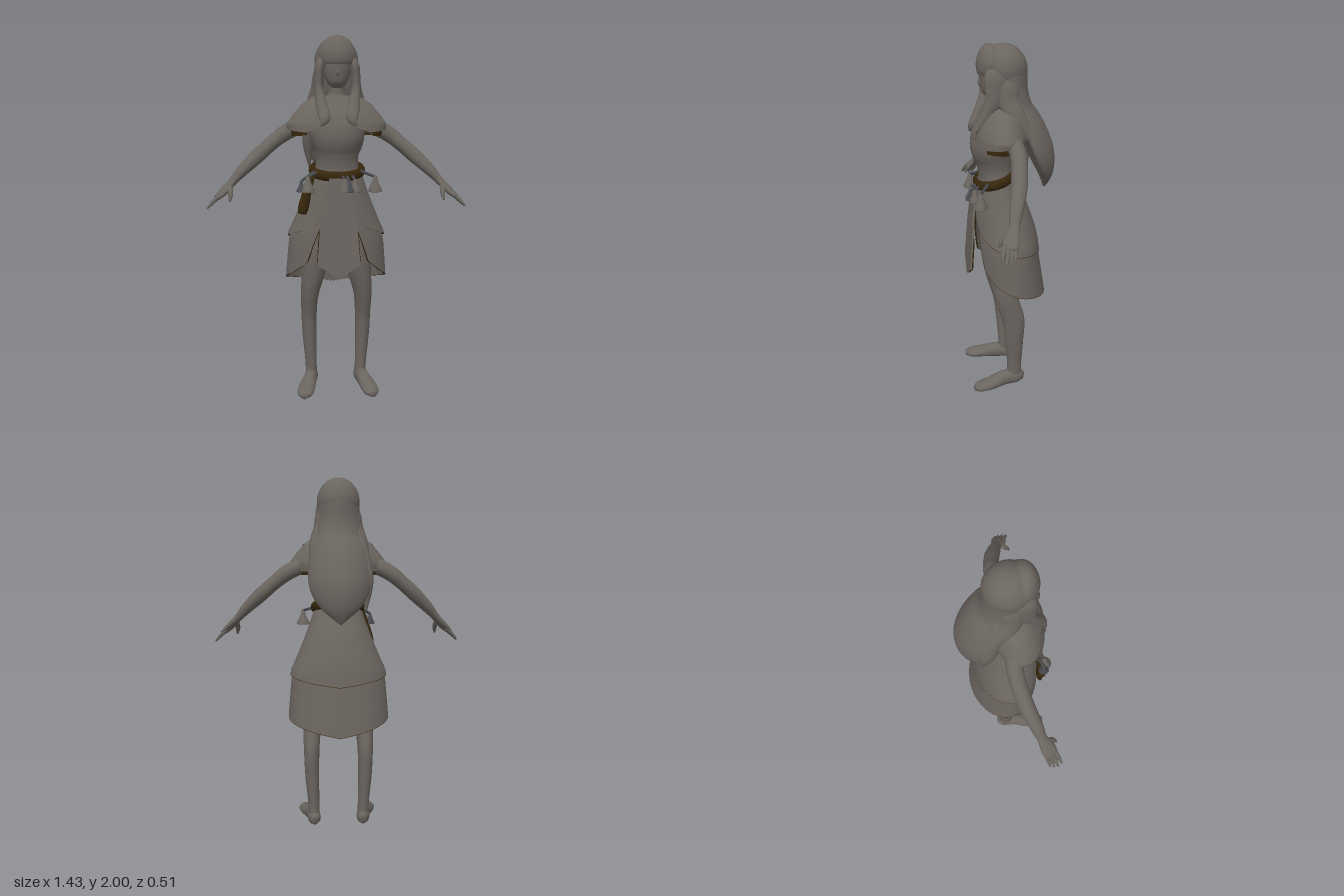
import * as THREE from 'three';

const mat = (name, color, extra = {}) => Object.assign(new THREE.MeshStandardMaterial({ color, ...extra }), { name });

export function createModel() {
  const grey = mat('warm grey', 0x6b655f, { side: THREE.DoubleSide });
  const brown = mat('dark brown leather', 0x37270d, { side: THREE.DoubleSide });
  const iron = mat('dark iron', 0x484a4f);
  const model = new THREE.Group();
  model.name = 'robedFigure';
  const add = (name, geo, m = grey) => {
    const mesh = new THREE.Mesh(geo, m);
    mesh.name = name;
    model.add(mesh);
    return mesh;
  };
  const V = (x, y, z) => new THREE.Vector3(x, y, z);

  function surface(pos, idx) {
    const g = new THREE.BufferGeometry();
    g.setAttribute('position', new THREE.Float32BufferAttribute(pos, 3));
    g.setIndex(idx);
    g.computeVertexNormals();
    return g;
  }

  // Closed smooth loft through sections [x, y, z, halfWidth, halfDepth]; bend curls the sides forward
  function loft(sections, { ref = V(0, 0, 1), sx = 1, radial = 24, steps = 6, minY = -9, bend = 0 } = {}) {
    const path = new THREE.CatmullRomCurve3(sections.map(s => V(s[0] * sx, s[1], s[2])), false, 'catmullrom');
    const size = new THREE.CatmullRomCurve3(sections.map(s => V(s[3], s[4], 0)), false, 'catmullrom');
    const n = (sections.length - 1) * steps, pos = [], idx = [];
    const push = p => pos.push(p.x, Math.max(p.y, minY), p.z + bend * p.x * p.x);
    for (let i = 0; i <= n; i++) {
      const c = path.getPoint(i / n), r = size.getPoint(i / n), t = path.getTangent(i / n);
      const u = ref.clone().cross(t).normalize(), v = t.clone().cross(u);
      for (let j = 0; j < radial; j++) {
        const a = j / radial * Math.PI * 2;
        push(c.clone().addScaledVector(u, Math.max(r.x, 0.002) * Math.cos(a))
          .addScaledVector(v, Math.max(r.y, 0.002) * Math.sin(a)));
        const k = (j + 1) % radial, A = i * radial;
        if (i < n) idx.push(A + j, A + k, A + radial + k, A + j, A + radial + k, A + radial + j);
      }
    }
    const s = pos.length / 3;
    push(path.getPoint(0));
    push(path.getPoint(1));
    for (let j = 0; j < radial; j++) {
      const k = (j + 1) % radial;
      idx.push(s, k, j, s + 1, n * radial + j, n * radial + k);
    }
    return surface(pos, idx);
  }

  // Linear lookup in rows sorted by rising first column
  function lookup(rows, x) {
    let i = 0;
    while (i < rows.length - 2 && x > rows[i + 1][0]) i++;
    const f = Math.min(1, Math.max(0, (x - rows[i][0]) / (rows[i + 1][0] - rows[i][0])));
    return rows[i].slice(1).map((v, k) => v + (rows[i + 1][k + 1] - v) * f);
  }

  // Cloth point at an angle from the front; profile rows are [y, halfWidth, frontZ, backZ]
  function clothPoint(profile, deg, y, grow) {
    const [rx, f, b] = lookup(profile, y), a = deg * Math.PI / 180;
    return V(rx * grow * Math.sin(a), y, (f + b) / 2 + (f - b) / 2 * grow * Math.cos(a));
  }
  const hemAt = (hem, deg) => lookup(hem, Math.abs(deg))[0];

  // Grid of quads over angle and row, from a point function
  function sheet(cols, rows, from, to, point) {
    const pos = [], idx = [];
    for (let i = 0; i <= rows; i++) for (let j = 0; j <= cols; j++) {
      pos.push(...point(from + (to - from) * j / cols, i / rows).toArray());
      const a = i * (cols + 1) + j, b = a + cols + 1;
      if (i < rows && j < cols) idx.push(a, b, b + 1, a, b + 1, a + 1);
    }
    return surface(pos, idx);
  }
  // Hanging cloth with a hem height that varies around the body
  const cloth = (profile, top, hem, { from = -180, to = 180, grow = 1 } = {}) =>
    sheet(96, 16, from, to, (d, t) => clothPoint(profile, d, top + (hemAt(hem, d) - top) * t, grow));
  // Narrow underside edge along a hem
  const hemEdge = (profile, hem, grow) =>
    sheet(96, 1, -180, 180, (d, t) => clothPoint(profile, d, hemAt(hem, d) - 0.003 + 0.003 * t, grow - 0.045 * t));

  // Torso and neck
  add('torso', loft([[0, 1.18, 0.06, 0.14, 0.1], [0, 1.31, 0.068, 0.118, 0.097], [0, 1.38, 0.075, 0.125, 0.105],
    [0, 1.46, 0.085, 0.15, 0.122], [0, 1.54, 0.07, 0.16, 0.115], [0, 1.62, 0.05, 0.12, 0.08],
    [0, 1.68, 0.045, 0.05, 0.045], [0, 1.78, 0.045, 0.045, 0.045]], { radial: 36 }));

  // Head and nose
  add('head', loft([[0, 1.722, 0.092, 0.024, 0.026], [0, 1.745, 0.088, 0.05, 0.052], [0, 1.79, 0.08, 0.07, 0.07],
    [0, 1.85, 0.072, 0.08, 0.082], [0, 1.93, 0.065, 0.08, 0.08]], { radial: 32 }));
  const nose = add('nose', new THREE.SphereGeometry(0.012, 12, 10));
  nose.scale.set(0.8, 1.7, 1.2);
  nose.position.set(0, 1.803, 0.147);

  // Hair cap, cut away around the face, with a fringe in front
  const cap = new THREE.SphereGeometry(1, 48, 40);
  cap.scale(0.12, 0.135, 0.13).translate(0, 1.865, 0.025);
  const cp = cap.attributes.position;
  for (let i = 0; i < cp.count; i++) {
    if (cp.getY(i) < 1.86 && cp.getZ(i) > 0.05) cp.setZ(i, 0.05);
  }
  cap.computeVertexNormals();
  add('hairCap', cap);
  add('fringe', loft([[0, 1.985, 0.06, 0.03, 0.03], [0, 1.955, 0.078, 0.08, 0.066], [0, 1.91, 0.085, 0.1, 0.079],
    [0, 1.87, 0.088, 0.098, 0.078], [0, 1.845, 0.088, 0.088, 0.07]], { radial: 36 }));

  // Long back hair with a separate trailing lock
  add('backHair', loft([[0, 1.93, -0.01, 0.08, 0.07], [0, 1.86, -0.02, 0.112, 0.085], [0, 1.76, -0.025, 0.124, 0.083],
    [0, 1.66, -0.06, 0.14, 0.075], [0, 1.56, -0.135, 0.165, 0.066], [0, 1.42, -0.195, 0.172, 0.062],
    [0, 1.3, -0.215, 0.12, 0.042], [0, 1.2, -0.21, 0.006, 0.006]], { radial: 36, bend: 2 }));
  add('trailingLock', loft([[-0.09, 1.7, -0.03, 0.035, 0.04], [-0.13, 1.56, -0.08, 0.04, 0.05],
    [-0.15, 1.42, -0.12, 0.035, 0.045], [-0.145, 1.27, -0.14, 0.004, 0.004]]));

  // Shoulder mantle, its collar and the dark armhole bands
  const mantle = [[1.46, 0.265, 0.208, -0.09], [1.53, 0.277, 0.195, -0.095], [1.58, 0.24, 0.18, -0.085],
    [1.63, 0.195, 0.15, -0.065], [1.68, 0.12, 0.125, -0.04]];
  const mantleHem = [[0, 1.54], [40, 1.485], [90, 1.5], [140, 1.48], [180, 1.5]];
  add('mantle', cloth(mantle, 1.68, mantleHem));
  add('collar', cloth(mantle, 1.68, [[0, 1.565], [45, 1.6], [90, 1.635], [180, 1.62]], { grow: 1.035 }));
  const bandHem = [[0, 1.48], [40, 1.465], [140, 1.462], [180, 1.48]];
  for (const s of [1, -1]) {
    add('armholeBand', cloth(mantle, 1.515, bandHem, { from: s > 0 ? 50 : -140, to: s > 0 ? 140 : -50, grow: 0.93 }), brown);
  }

  // Two skirt layers, open at the front
  const skirt = [[0.56, 0.3, 0.2, -0.218], [0.68, 0.293, 0.2, -0.2], [0.85, 0.278, 0.2, -0.172],
    [0.92, 0.268, 0.198, -0.163], [1.0, 0.232, 0.195, -0.145], [1.13, 0.18, 0.187, -0.1],
    [1.2, 0.155, 0.18, -0.065], [1.28, 0.13, 0.165, -0.025]];
  const overHem = [[0, 1.17], [12, 1.08], [25, 1.0], [48, 0.945], [90, 0.9], [180, 0.845]];
  const underHem = [[0, 1.1], [22, 1.0], [29, 0.9], [38, 0.77], [60, 0.705], [90, 0.655], [180, 0.567]];
  for (const [name, hem, grow] of [['overskirt', overHem, 1.02], ['underskirt', underHem, 0.98]]) {
    add(name, cloth(skirt, 1.28, hem, { grow }));
    add(name + 'Edge', hemEdge(skirt, hem, grow), brown);
  }

  // Pointed front panel with a dark lower edge
  const flapShape = new THREE.Shape([[-0.05, 1.24], [-0.078, 1.08], [-0.1, 1.0], [-0.117, 0.77], [0, 0.695],
    [0.117, 0.77], [0.1, 1.0], [0.078, 1.08], [0.05, 1.24]].map(p => new THREE.Vector2(...p)));
  const flapZ = y => 0.188 + (1.24 - y) * 0.08;
  const flap = new THREE.ExtrudeGeometry(flapShape, { depth: 0.012, bevelEnabled: false });
  const fp = flap.attributes.position;
  for (let i = 0; i < fp.count; i++) fp.setZ(i, fp.getZ(i) + flapZ(fp.getY(i)));
  flap.computeVertexNormals();
  add('frontPanel', flap);
  for (const s of [1, -1]) {
    const edge = [[0.105, 0.95], [0.116, 0.772], [0, 0.697]].map(([x, y]) => V(s * x, y, flapZ(y)));
    for (let i = 0; i < 2; i++) {
      add('panelEdge', new THREE.TubeGeometry(new THREE.LineCurve3(edge[i], edge[i + 1]), 1, 0.004, 6), brown);
    }
  }

  // Belt, sloping up towards the back
  const beltPts = [];
  for (let i = 0; i < 24; i++) {
    const a = i / 24 * Math.PI * 2;
    beltPts.push(V(0.137 * Math.sin(a), 1.275 - 0.02 * Math.cos(a), 0.075 + 0.1 * Math.cos(a)));
  }
  const belt = new THREE.TubeGeometry(new THREE.CatmullRomCurve3(beltPts, true), 72, 0.02, 10, true);
  belt.translate(0, -1.275, 0).scale(1, 1.4, 1).translate(0, 1.275, 0);
  add('belt', belt, brown);

  // Bell charms hanging from the belt
  const bellProfile = [[0, 0.075], [0.01, 0.072], [0.013, 0.05], [0.024, 0.025], [0.036, 0], [0.03, -0.004], [0, -0.004]]
    .reverse().map(p => new THREE.Vector2(...p));
  [[-0.165, 0.19, 1.1, grey], [0.2, 0.185, 1.1, grey], [0.09, 0.2, 0.9, grey], [0.03, 0.215, 0.9, grey],
    [0.06, 0.222, 0.7, iron], [-0.2, 0.18, 0.8, iron]].forEach(([x, z, s, m]) => {
    const bell = add('bellCharm', new THREE.LatheGeometry(bellProfile, 18), m);
    bell.position.set(x, 1.17, z);
    bell.scale.setScalar(s);
    const cord = new THREE.LineCurve3(V(x, 1.17 + 0.07 * s, z), V(x * 0.62, 1.275, 0.03 + z * 0.55));
    add('bellCord', new THREE.TubeGeometry(cord, 1, 0.008, 6), iron);
  });

  // Leather pouch on the right hip
  add('hipPouch', loft([[-0.14, 1.25, 0.14, 0.016, 0.012], [-0.165, 1.18, 0.165, 0.022, 0.015],
    [-0.187, 1.09, 0.165, 0.029, 0.02], [-0.197, 1.045, 0.165, 0.023, 0.014]]), brown);

  // Paired limbs and front hair
  const up = V(0, 1, 0);
  for (const sx of [1, -1]) {
    const side = sx > 0 ? 'left' : 'right';
    add(side + 'FrontLock', loft([[0.065, 1.92, 0.06, 0.01, 0.02], [0.09, 1.85, 0.075, 0.028, 0.06],
      [0.1, 1.78, 0.08, 0.027, 0.057], [0.1, 1.71, 0.095, 0.026, 0.045], [0.085, 1.62, 0.15, 0.033, 0.026],
      [0.075, 1.56, 0.185, 0.03, 0.018], [0.095, 1.52, 0.195, 0.006, 0.006]], { sx }));
    add(side + 'SideHair', loft([[0.07, 1.88, 0.02, 0.01, 0.02], [0.092, 1.8, 0.02, 0.033, 0.06],
      [0.105, 1.72, 0.015, 0.035, 0.06], [0.13, 1.63, -0.025, 0.035, 0.05], [0.145, 1.52, -0.1, 0.02, 0.03]], { sx }));
    add(side + 'Arm', loft([[0.15, 1.54, 0.01, 0.045, 0.045], [0.28, 1.48, 0.0, 0.044, 0.045],
      [0.36, 1.42, 0.01, 0.042, 0.04], [0.44, 1.35, 0.03, 0.042, 0.04], [0.52, 1.275, 0.06, 0.036, 0.032],
      [0.575, 1.215, 0.08, 0.028, 0.022], [0.625, 1.163, 0.105, 0.042, 0.019], [0.66, 1.13, 0.12, 0.036, 0.013]], { sx, ref: up }));
    for (let f = 0; f < 4; f++) {
      const o = (f - 1.5) * 0.018, reach = [0.92, 1, 1, 0.85][f];
      add(side + 'Finger', loft([[0.64, 1.148, 0.112 + o, 0.011, 0.011],
        [0.64 + 0.04 * reach, 1.148 - 0.038 * reach, 0.124 + o * 1.1, 0.0105, 0.0105],
        [0.64 + 0.072 * reach, 1.148 - 0.072 * reach, 0.134 + o * 1.15, 0.005, 0.005]], { sx, ref: up, radial: 10, steps: 5 }));
    }
    add(side + 'Thumb', loft([[0.59, 1.2, 0.1, 0.014, 0.016], [0.583, 1.155, 0.138, 0.014, 0.014],
      [0.588, 1.115, 0.16, 0.006, 0.006]], { sx, radial: 10, steps: 5 }));
    add(side + 'Leg', loft([[0.09, 1.08, 0.04, 0.085, 0.09], [0.105, 0.88, 0.055, 0.085, 0.092],
      [0.13, 0.7, 0.05, 0.068, 0.078], [0.152, 0.57, 0.032, 0.053, 0.066], [0.157, 0.44, -0.003, 0.045, 0.065],
      [0.155, 0.3, -0.008, 0.041, 0.054], [0.147, 0.13, -0.01, 0.033, 0.043], [0.145, 0.03, -0.01, 0.034, 0.045]], { sx }));
    add(side + 'Foot', loft([[0.14, 0.032, -0.064, 0.018, 0.025], [0.143, 0.042, -0.03, 0.037, 0.044],
      [0.155, 0.045, 0.05, 0.038, 0.047], [0.175, 0.032, 0.13, 0.047, 0.034], [0.188, 0.024, 0.2, 0.044, 0.026],
      [0.195, 0.02, 0.238, 0.02, 0.017]], { sx, ref: up, minY: 0 }));
  }
  return model;
}
